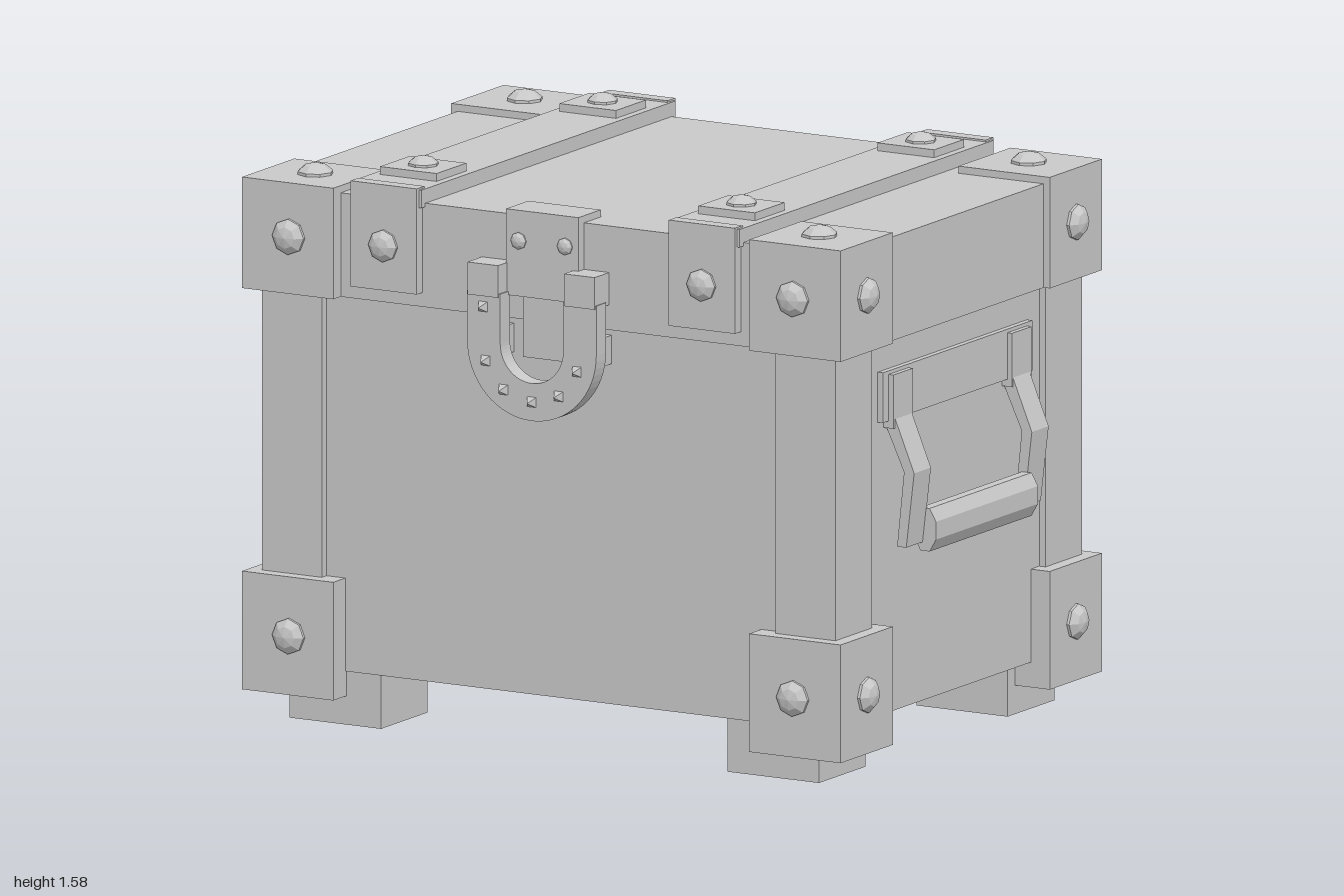
import * as THREE from 'three';

export function createModel() {
  const chest = new THREE.Group();
  chest.name = 'chest';
  const grey = new THREE.MeshStandardMaterial({ color: 0xc8c8c8 });
  grey.name = 'plain grey';

  const add = (parent, name, geometry) => {
    const mesh = new THREE.Mesh(geometry, grey);
    mesh.name = name;
    parent.add(mesh);
    return mesh;
  };
  // Box given by its limits on each axis
  const box = (parent, name, [x0, x1], [y0, y1], [z0, z1]) => {
    const mesh = add(parent, name, new THREE.BoxGeometry(x1 - x0, y1 - y0, z1 - z0));
    mesh.position.set((x0 + x1) / 2, (y0 + y1) / 2, (z0 + z1) / 2);
    return mesh;
  };
  const faceted = (geometry) => {
    const flat = geometry.toNonIndexed();
    flat.computeVertexNormals();
    return flat;
  };
  const extrude = (shape, depth) =>
    new THREE.ExtrudeGeometry(shape, { depth, bevelEnabled: false, curveSegments: 16 });
  const span = (s, a, b) => (s > 0 ? [a, b] : [-b, -a]);

  // Faceted dome rivet, rising along +y
  const rivetGeometry = faceted(new THREE.LatheGeometry([
    new THREE.Vector2(0.05, -0.01), new THREE.Vector2(0.05, 0.008),
    new THREE.Vector2(0.03, 0.025), new THREE.Vector2(0, 0.032),
  ], 8));
  const up = new THREE.Vector3(0, 1, 0);
  const rivet = (parent, name, position, direction, scale = 1) => {
    const mesh = add(parent, name, rivetGeometry);
    mesh.position.set(...position);
    mesh.quaternion.setFromUnitVectors(up, new THREE.Vector3(...direction));
    mesh.scale.setScalar(scale);
  };

  // Body and lid
  box(chest, 'body', [-0.89, 0.89], [0.15, 1.21], [-0.635, 0.635]);
  box(chest, 'lid', [-0.93, 0.93], [1.2, 1.49], [-0.66, 0.66]);

  // Corner posts, feet and riveted corner caps
  for (const sx of [-1, 1]) {
    for (const sz of [-1, 1]) {
      box(chest, 'cornerPost', span(sx, 0.72, 0.91), [0.15, 1.2], span(sz, 0.465, 0.66));
      box(chest, 'foot', span(sx, 0.55, 0.84), [0, 0.16], span(sz, 0.38, 0.63));
      box(chest, 'lowerCorner', span(sx, 0.66, 0.95), [0.08, 0.41], span(sz, 0.42, 0.7));
      box(chest, 'upperCorner', span(sx, 0.66, 0.95), [1.2, 1.51], span(sz, 0.42, 0.7));
      for (const y of [0.245, 1.36]) {
        rivet(chest, 'cornerRivet', [sx * 0.8, y, sz * 0.7], [0, 0, sz]);
        rivet(chest, 'cornerRivet', [sx * 0.95, y, sz * 0.56], [sx, 0, 0]);
      }
      rivet(chest, 'cornerRivet', [sx * 0.8, 1.51, sz * 0.56], [0, 1, 0]);
    }
  }

  // Straps over the lid
  for (const sx of [-1, 1]) {
    box(chest, 'lidStrap', span(sx, 0.392, 0.618), [1.48, 1.53], [-0.68, 0.68]);
    for (const sz of [-1, 1]) {
      box(chest, 'strapEnd', span(sx, 0.4, 0.61), [1.24, 1.535], span(sz, 0.65, 0.692));
      box(chest, 'strapPad', span(sx, 0.415, 0.595), [1.52, 1.552], span(sz, 0.4, 0.56));
      rivet(chest, 'strapRivet', [sx * 0.505, 1.365, sz * 0.692], [0, 0, sz], 0.9);
      rivet(chest, 'strapRivet', [sx * 0.505, 1.552, sz * 0.48], [0, 1, 0], 0.85);
    }
  }

  // Carrying handle, built on the +x side and turned for the other
  const arm = new THREE.Shape([
    [0.885, 0.97], [0.95, 0.83], [0.928, 0.62], [0.957, 0.62], [0.982, 0.83], [0.918, 0.985],
  ].map(([x, y]) => new THREE.Vector2(x, y)));
  for (const turn of [0, Math.PI]) {
    const handle = new THREE.Group();
    handle.name = turn ? 'rightHandle' : 'leftHandle';
    handle.rotation.y = turn;
    chest.add(handle);
    box(handle, 'handlePlate', [0.88, 0.907], [0.97, 1.11], [-0.4, 0.4]);
    for (const s of [-1, 1]) {
      box(handle, 'handleBracket', [0.88, 0.922], [0.95, 1.1], span(s, 0.265, 0.37));
      add(handle, 'handleArm', extrude(arm, 0.09)).position.z = s > 0 ? 0.27 : -0.36;
    }
    const grip = add(handle, 'grip', faceted(new THREE.CylinderGeometry(0.065, 0.065, 0.546, 8)
      .rotateY(Math.PI / 8).rotateX(Math.PI / 2).scale(0.58, 1, 1)));
    grip.position.set(0.965, 0.656, 0);
  }

  // Studded horseshoe clasp; legs reach up to the given height
  const spikeGeometry = faceted(new THREE.ConeGeometry(0.023, 0.03, 4)
    .rotateY(Math.PI / 4).rotateX(Math.PI / 2));
  const horseshoe = (name, legTop, upperSpikeY) => {
    const group = new THREE.Group();
    group.name = name;
    chest.add(group);
    const shape = new THREE.Shape();
    shape.moveTo(-0.205, legTop);
    shape.lineTo(-0.205, 1.142);
    shape.absarc(0, 1.142, 0.205, Math.PI, 2 * Math.PI, false);
    shape.lineTo(0.205, legTop);
    shape.lineTo(0.1, legTop);
    shape.lineTo(0.1, 1.142);
    shape.absarc(0, 1.142, 0.1, 0, -Math.PI, true);
    shape.lineTo(-0.1, legTop);
    shape.closePath();
    add(group, 'horseshoe', extrude(shape, 0.052)).position.z = 0.682;
    for (const s of [-1, 1]) {
      box(group, 'horseshoeMount', span(s, 0.115, 0.195), [1.1, 1.18], [0.62, 0.69]);
    }
    const spikes = [[-0.155, upperSpikeY], [-0.147, 1.09], [-0.09, 1.015],
      [0, 0.99], [0.085, 1.015], [0.143, 1.09]];
    for (const [x, y] of spikes) {
      add(group, 'spike', spikeGeometry).position.set(x, y, 0.745);
    }
    return group;
  };
  const frontClasp = horseshoe('frontClasp', 1.28, 1.24);
  frontClasp.position.x = -0.01;
  for (const s of [-1, 1]) {
    box(frontClasp, 'claspCuff', span(s, 0.105, 0.202), [1.27, 1.36], [0.655, 0.738]);
  }
  const backClasp = horseshoe('backClasp', 1.18, 1.165);
  backClasp.rotation.y = Math.PI;
  backClasp.position.x = 0.005;

  // Hasp folded over the lid edge, with its tongue inside the horseshoe
  box(chest, 'haspTop', [-0.118, 0.112], [1.48, 1.51], [0.57, 0.69]);
  box(chest, 'haspFront', [-0.118, 0.112], [1.27, 1.505], [0.65, 0.69]);
  box(chest, 'haspTongue', [-0.07, 0.063], [1.1, 1.28], [0.625, 0.68]);
  for (const x of [-0.077, 0.07]) {
    rivet(chest, 'haspRivet', [x, 1.425, 0.69], [0, 0, 1], 0.48);
  }

  return chest;
}
